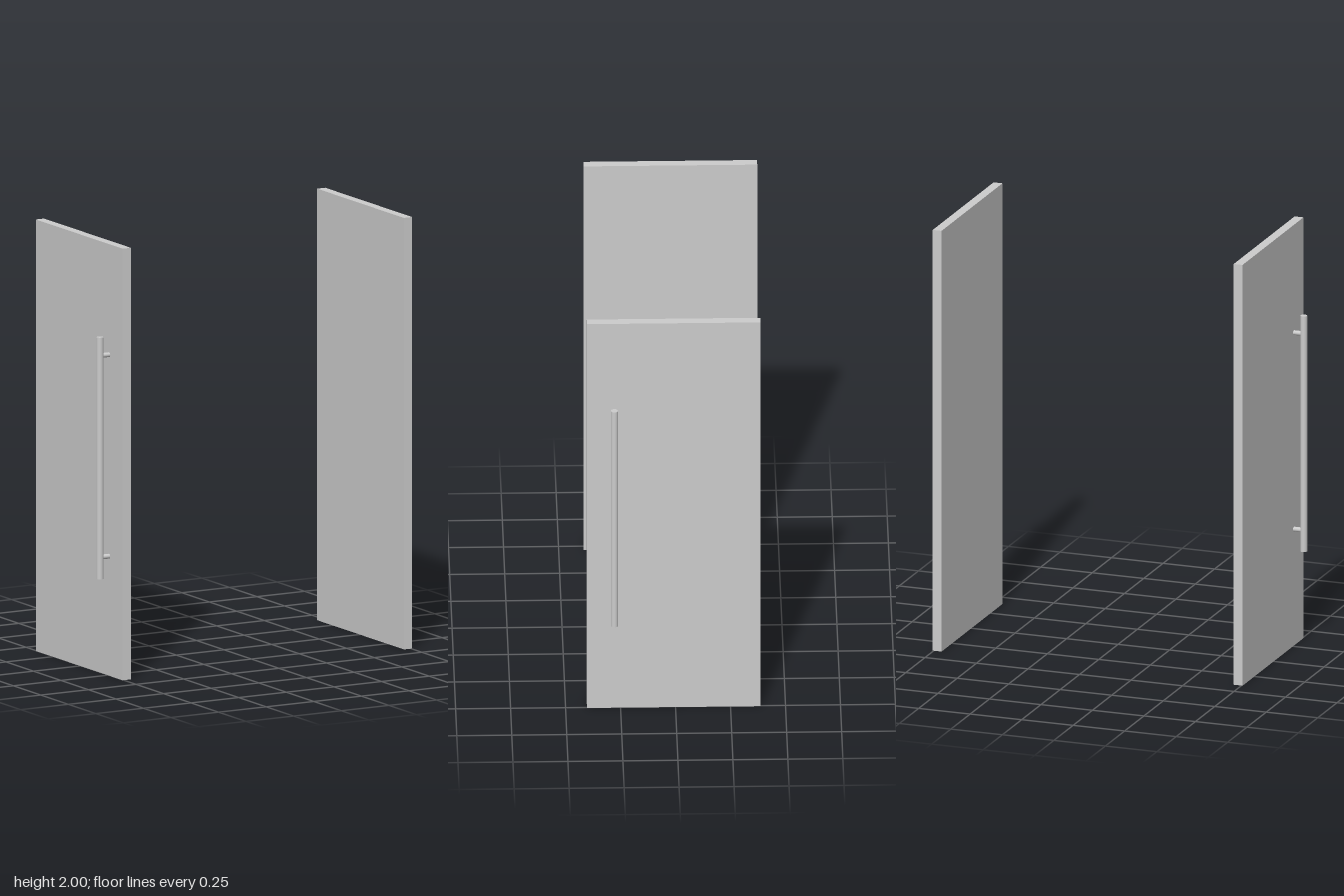
import * as THREE from 'three';

const material = new THREE.MeshStandardMaterial({ color: 0xcccccc });

function addMesh(parent, name, geometry, x, y, z) {
  const mesh = new THREE.Mesh(geometry, material);
  mesh.name = name;
  mesh.position.set(x, y, z);
  parent.add(mesh);
  return mesh;
}

// One door leaf with a pull handle on its outer face; side is +1 (left) or -1 (right)
function createDoor(name, side, zShift) {
  const door = new THREE.Group();
  door.name = name;
  door.position.z = zShift;

  // Flat slab
  addMesh(door, 'doorPanel', new THREE.BoxGeometry(0.043, 2, 0.79), side * 0.7335, 1, 0);

  // Long vertical bar held by two short standoffs
  const handle = new THREE.Group();
  handle.name = 'pullHandle';
  const barX = 0.803, faceX = 0.755, handleZ = 0.271;
  addMesh(handle, 'handleBar', new THREE.CylinderGeometry(0.016, 0.016, 1.12, 32), side * barX, 1.014, handleZ);
  for (const y of [0.554, 1.488]) {
    const standoff = addMesh(handle, 'handleStandoff',
      new THREE.CylinderGeometry(0.011, 0.011, barX - faceX, 24), side * (barX + faceX) / 2, y, handleZ);
    standoff.rotation.z = Math.PI / 2;
  }
  door.add(handle);
  return door;
}

export function createModel() {
  const model = new THREE.Group();
  model.name = 'doorPair';
  // The two leaves are slightly staggered in depth
  model.add(createDoor('leftDoor', 1, 0.008), createDoor('rightDoor', -1, -0.008));
  return model;
}
